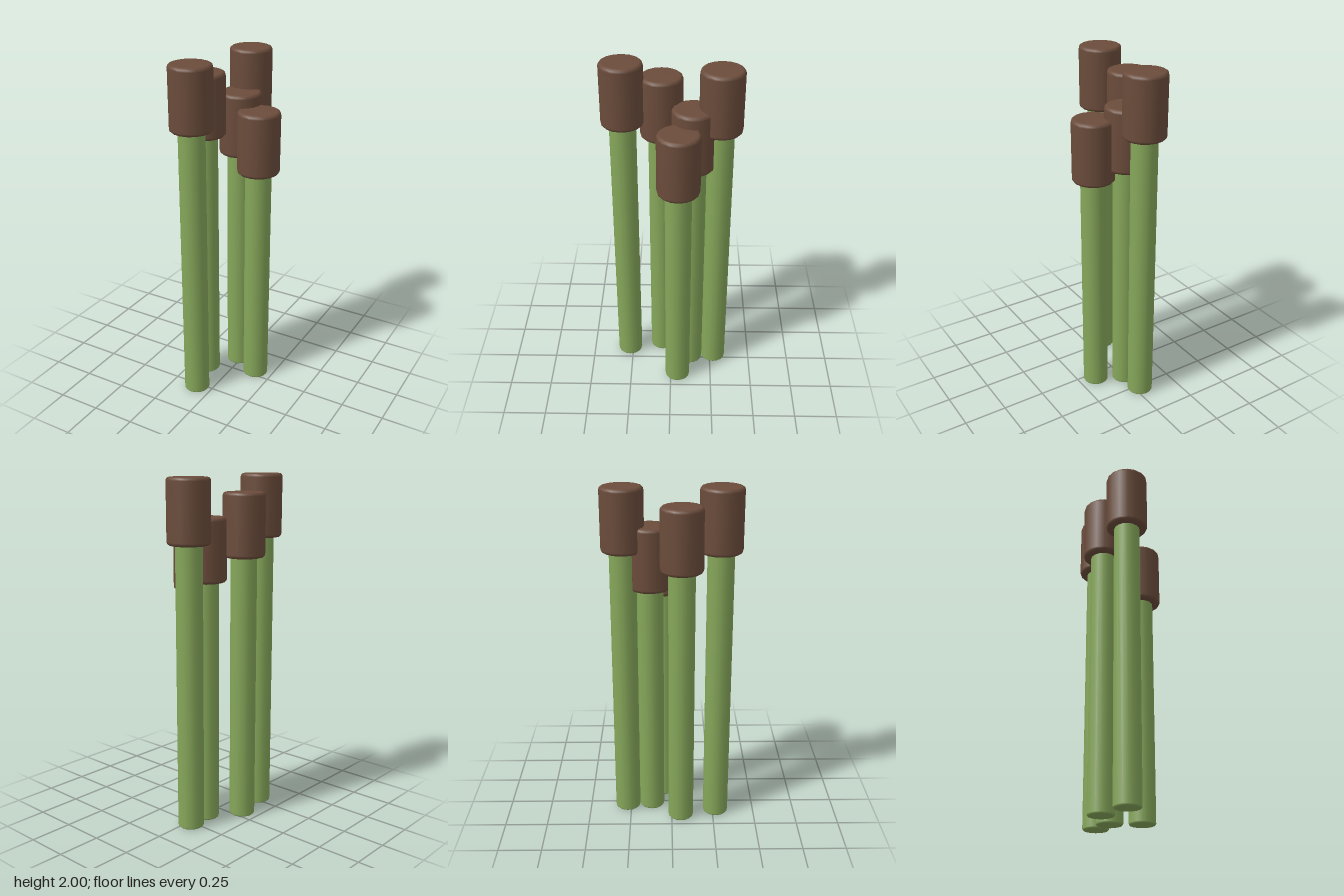
import * as THREE from 'three';

const SIDES = 16;

// Solid upright rod with rounded rims, standing on y = 0
function roundedRod(radius, height, bevel, steps = 3) {
  const points = [new THREE.Vector2(0, 0)];
  for (let i = 0; i <= steps; i++) {
    const a = (i / steps) * Math.PI / 2;
    points.push(new THREE.Vector2(radius - bevel + bevel * Math.sin(a), bevel - bevel * Math.cos(a)));
  }
  for (let i = 0; i <= steps; i++) {
    const a = (i / steps) * Math.PI / 2;
    points.push(new THREE.Vector2(radius - bevel + bevel * Math.cos(a), height - bevel + bevel * Math.sin(a)));
  }
  points.push(new THREE.Vector2(0, height));
  return new THREE.LatheGeometry(points, SIDES);
}

export function createModel() {
  const model = new THREE.Group();
  model.name = 'cattails';

  const green = new THREE.MeshStandardMaterial({ color: 0x86a75a });
  const brown = new THREE.MeshStandardMaterial({ color: 0x6b4c3b });

  const headHeight = 0.36;
  const headGeometry = roundedRod(0.12, headHeight, 0.02);

  // x, z and top height of each reed
  const reeds = [
    [-0.033, -0.27, 1.99],
    [-0.017, -0.121, 1.773],
    [0.143, -0.042, 1.705],
    [-0.146, 0.055, 1.905],
    [-0.095, 0.268, 2.0],
  ];

  for (const [x, z, top] of reeds) {
    const reed = new THREE.Group();
    reed.name = 'reed';
    reed.position.set(x, 0, z);

    // Stem runs a little way up inside the seed head
    const stem = new THREE.Mesh(roundedRod(0.075, top - headHeight + 0.1, 0.01), green);
    stem.name = 'stem';

    const head = new THREE.Mesh(headGeometry, brown);
    head.name = 'seedHead';
    head.position.y = top - headHeight;

    reed.add(stem, head);
    model.add(reed);
  }
  return model;
}
